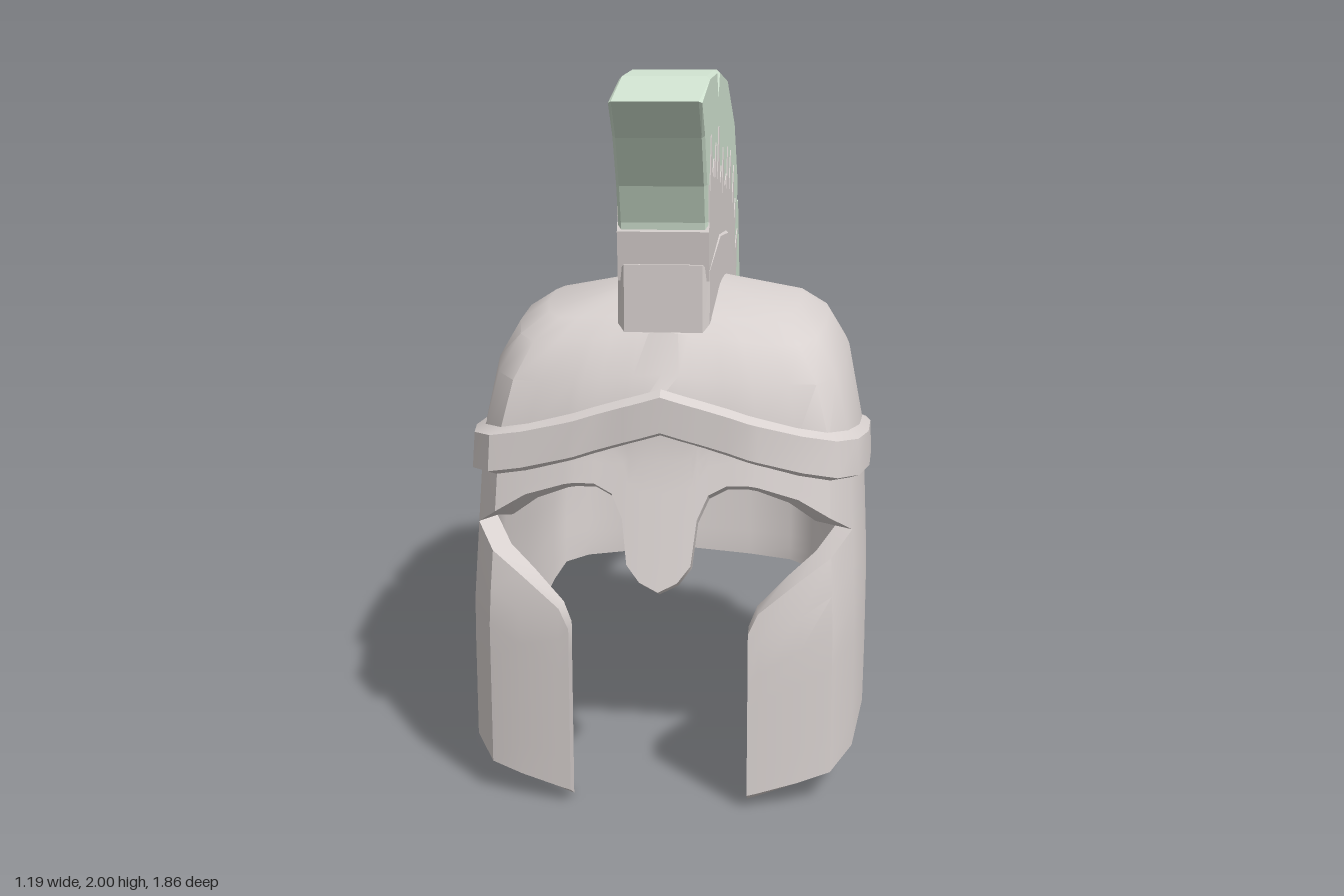
import * as THREE from 'three';
import { mergeGeometries, toCreasedNormals } from 'three/addons/utils/BufferGeometryUtils.js';

const clamp = THREE.MathUtils.clamp;
const ROWS = 7, MID_Z = 0.17, WALL = 0.1;

// Half outline of the helmet, front centre to back centre:
// [x, z, bottom edge, cheek top, brow edge, band top]
const HALF = [
  [0, 0.797, 0, 0, 0.62, 1.155],
  [0.05, 0.796, 0, 0, 0.645, 1.14],
  [0.085, 0.795, 0, 0, 0.69, 1.13],
  [0.1, 0.794, 0, 0, 0.81, 1.126],
  [0.13, 0.792, 0, 0, 0.875, 1.117],
  [0.18, 0.789, 0, 0, 0.9, 1.102],
  [0.235, 0.787, 0.04, 0.51, 0.9, 1.084],
  [0.262, 0.782, 0.045, 0.565, 0.895, 1.076],
  [0.37, 0.762, 0.07, 0.645, 0.86, 1.046],
  [0.455, 0.735, 0.09, 0.7, 0.805, 1.028],
  [0.515, 0.645, 0.125, 0.75, 0.75, 1.015],
  [0.55, 0.45, 0.165, 0.72, 0.72, 0.99],
  [0.567, 0.15, 0.21, 0.68, 0.68, 0.95],
  [0.56, -0.05, 0.265, 0.64, 0.64, 0.915],
  [0.53, -0.26, 0.335, 0.62, 0.62, 0.87],
  [0.5, -0.34, 0.375, 0.61, 0.61, 0.85],
  [0.43, -0.395, 0.385, 0.6, 0.6, 0.835],
  [0.2, -0.42, 0.395, 0.6, 0.6, 0.825],
  [0, -0.43, 0.41, 0.6, 0.6, 0.825],
].map(([x, z, bottom, cheek, brow, band], i) => ({ x, z, bottom, cheek, brow, band, open: i < 10 }));
const FIRST_CHEEK = 6;
const mirrored = HALF.slice(1, -1).reverse().map(c => ({ ...c, x: -c.x }));
const RING = [...HALF, ...mirrored];
const CHEEKS = RING.slice(FIRST_CHEEK, RING.length - FIRST_CHEEK + 1);

// Moves an outline point inwards by t (outwards when negative); the wall is thinner at the face
function inset(x, z, t) {
  const thinX = t > 0 ? 1 - 0.6 * clamp((z - 0.2) / 0.45, 0, 1) : 1;
  const thinZ = t > 0 ? 0.65 : 1;
  return [
    x - Math.sign(x) * t * thinX * clamp((Math.abs(x) - 0.25) / 0.2, 0, 1),
    z - t * clamp((z - MID_Z) / 0.4, -1, thinZ),
  ];
}

// Point on the wall: it widens downwards, the front leans out and the neck tucks in
function wallPoint(c, y, t) {
  const lean = c.z > MID_Z
    ? 1 + 0.18 * clamp((1 - y) / 0.45, 0, 1)
    : 1 - 0.045 * clamp((0.75 - y) / 0.35, 0, 1);
  const wide = 1 + 0.04 * clamp((1 - y) / 0.5, 0, 1);
  const [x, z] = inset(c.x * wide, MID_Z + (c.z - MID_Z) * lean, t);
  return new THREE.Vector3(x, y, z);
}

// Point on the dome: the outline shrinks towards the top, with a raised centre line
function domePoint(c, [sx, front, back, y, bow, rise], t) {
  const [bx, bz] = inset(c.x, c.z, t);
  const z = MID_Z + (bz - MID_Z) * (bz > MID_Z ? front : back);
  const lift = rise * Math.max(0, 1 - Math.abs(c.x) / 0.45);
  return new THREE.Vector3(bx * sx, y + lift - bow * (z - 0.25) ** 2 - t * 0.8, z);
}

// Skin through rings of equal length
function loft(rings, closed) {
  const n = rings[0].length, pos = [], idx = [];
  rings.forEach(r => r.forEach(p => pos.push(p.x, p.y, p.z)));
  for (let r = 0; r < rings.length - 1; r++) {
    for (let i = 0; i < (closed ? n : n - 1); i++) {
      const j = (i + 1) % n, a = r * n + i, b = r * n + j, c = b + n, d = a + n;
      idx.push(a, b, c, a, c, d);
    }
  }
  const g = new THREE.BufferGeometry();
  g.setAttribute('position', new THREE.Float32BufferAttribute(pos, 3));
  g.setIndex(idx);
  return g;
}

// Rings of wall points between two edges, from bottom to top
function wallRings(cols, low, high, t) {
  return Array.from({ length: ROWS }, (_, r) => cols.map(c =>
    wallPoint(c, THREE.MathUtils.lerp(low(c), high(c), r / (ROWS - 1)), t)));
}

function shellGeometry() {
  // Brow, nose guard and dome, inner skin first and then the outer skin
  const levels = [
    [0.92, 0.935, 0.96, 1.18, 0.1, 0.04], [0.81, 0.85, 0.88, 1.287, 0.17, 0.05],
    [0.67, 0.72, 0.75, 1.337, 0.19, 0.035], [0.2, 0.25, 0.25, 1.39, 0.2, 0], [0, 0, 0, 1.4, 0, 0],
  ];
  const dome = t => levels.map(l => RING.map(c => domePoint(c, l, t)));
  const band = c => c.band - 0.02;
  const outer = wallRings(RING, c => c.brow, band, 0);
  const inner = wallRings(RING, c => c.brow - (c.open ? 0.025 : 0), band, WALL);
  const upper = loft([...dome(WALL).reverse(), ...inner.reverse(), ...outer, ...dome(0)], true);

  // Cheeks, sides and neck with a bevelled bottom rim
  const out = wallRings(CHEEKS, c => c.bottom, c => c.cheek, 0);
  const inn = wallRings(CHEEKS, c => c.bottom - 0.04, c => c.cheek, WALL);
  const lower = loft([...out, ...[...inn].reverse(), out[0]], false);

  // Inner edges of the cheeks
  const last = CHEEKS.length - 1;
  const edge = (rings, i) => rings.map(r => r[i]);
  const caps = [
    loft([edge(out, 0), edge(inn, 0)], false),
    loft([edge(inn, last), edge(out, last)], false),
  ];
  return toCreasedNormals(mergeGeometries([upper, lower, ...caps]), 0.6);
}

// Raised chevron band around the helmet
function bandGeometry() {
  const profile = [[0.01, -0.125], [-0.022, -0.11], [-0.022, -0.012], [0.01, 0.005]];
  return toCreasedNormals(loft(profile.map(([t, dy]) =>
    RING.map(c => wallPoint(c, c.band + dy, t))), true), 0.5);
}

// Side profile of [z, y] points, extruded across x and narrowed towards the front
function ridge(points, halfWidth, bevel, taper) {
  const shape = new THREE.Shape(points.map(p => new THREE.Vector2(...p)));
  const depth = 2 * (halfWidth - bevel);
  const g = new THREE.ExtrudeGeometry(shape, {
    depth, bevelEnabled: bevel > 0, bevelThickness: bevel, bevelSize: bevel,
    bevelOffset: -bevel, bevelSegments: 1,
  });
  g.translate(0, 0, -depth / 2).rotateY(-Math.PI / 2);
  const p = g.attributes.position;
  for (let i = 0; i < p.count; i++) p.setX(i, p.getX(i) * (1 - taper * p.getZ(i)));
  g.computeVertexNormals();
  return g;
}

const BASE_TOP = [[0.705, 1.485], [0.3, 1.54], [-0.03, 1.515], [-0.39, 1.375], [-0.53, 1.15], [-0.575, 0.935]];
const BASE_BOTTOM = [[-0.36, 0.925], [-0.32, 1.15], [-0.24, 1.22], [0, 1.31], [0.3, 1.34], [0.705, 1.3]];
const UNDERSIDE = [[-0.55, 0.95], [-0.48, 1.15], [-0.35, 1.33], [-0.03, 1.47], [0.3, 1.49], [0.69, 1.44]];

const CREST = [
  [0.93, 1.925], [0.83, 1.83], [0.75, 1.7], [0.71, 1.6], ...[...UNDERSIDE].reverse(),
  [-0.72, 0.9], [-0.83, 0.83], [-0.88, 0.775], [-0.925, 1.05], [-0.88, 1.31], [-0.77, 1.54],
  [-0.71, 1.54], [-0.73, 1.61], [-0.52, 1.82], [-0.12, 1.97], [0.26, 2], [0.31, 1.93], [0.37, 2],
  [0.65, 1.985],
].reverse();

// Jagged painted area at the root of the crest, reaching round its front edge
const FLAMES = [
  ...UNDERSIDE.slice(0, -1), [0.694, 1.44], [0.711, 1.575], [0.695, 1.6],
  [0.69, 1.7], [0.67, 1.68], [0.62, 1.83], [0.57, 1.7], [0.52, 1.76], [0.49, 1.68],
  [0.44, 1.8], [0.38, 1.68], [0.32, 1.84], [0.27, 1.67], [0.2, 1.72], [0.17, 1.63], [0.12, 1.77],
  [0.05, 1.64], [-0.03, 1.68], [-0.05, 1.62], [-0.1, 1.76], [-0.17, 1.61], [-0.26, 1.74],
  [-0.34, 1.55], [-0.44, 1.68], [-0.45, 1.48], [-0.54, 1.56], [-0.53, 1.38], [-0.67, 1.44],
  [-0.58, 1.22], [-0.67, 1.2], [-0.6, 1.08], [-0.68, 1.08], [-0.65, 1.0], [-0.74, 0.97], [-0.7, 0.92],
];

export function createModel() {
  const metal = new THREE.MeshStandardMaterial({ color: 0xd8d1cf });
  metal.name = 'pale grey metal';
  const plume = new THREE.MeshStandardMaterial({ color: 0xd0e2d0 });
  plume.name = 'soft green plume';

  const model = new THREE.Group();
  model.name = 'crestedHelmet';
  const add = (name, geometry, material) => {
    const mesh = new THREE.Mesh(geometry, material);
    mesh.name = name;
    model.add(mesh);
  };
  add('helmetShell', shellGeometry(), metal);
  add('browBand', bandGeometry(), metal);
  add('crestBase', ridge([...BASE_TOP, ...BASE_BOTTOM], 0.14, 0.02, 0.15), metal);
  add('crest', ridge(CREST, 0.13, 0.009, 0.09), plume);
  add('crestRootFlames', ridge(FLAMES, 0.133, 0, 0.09), metal);
  return model;
}
